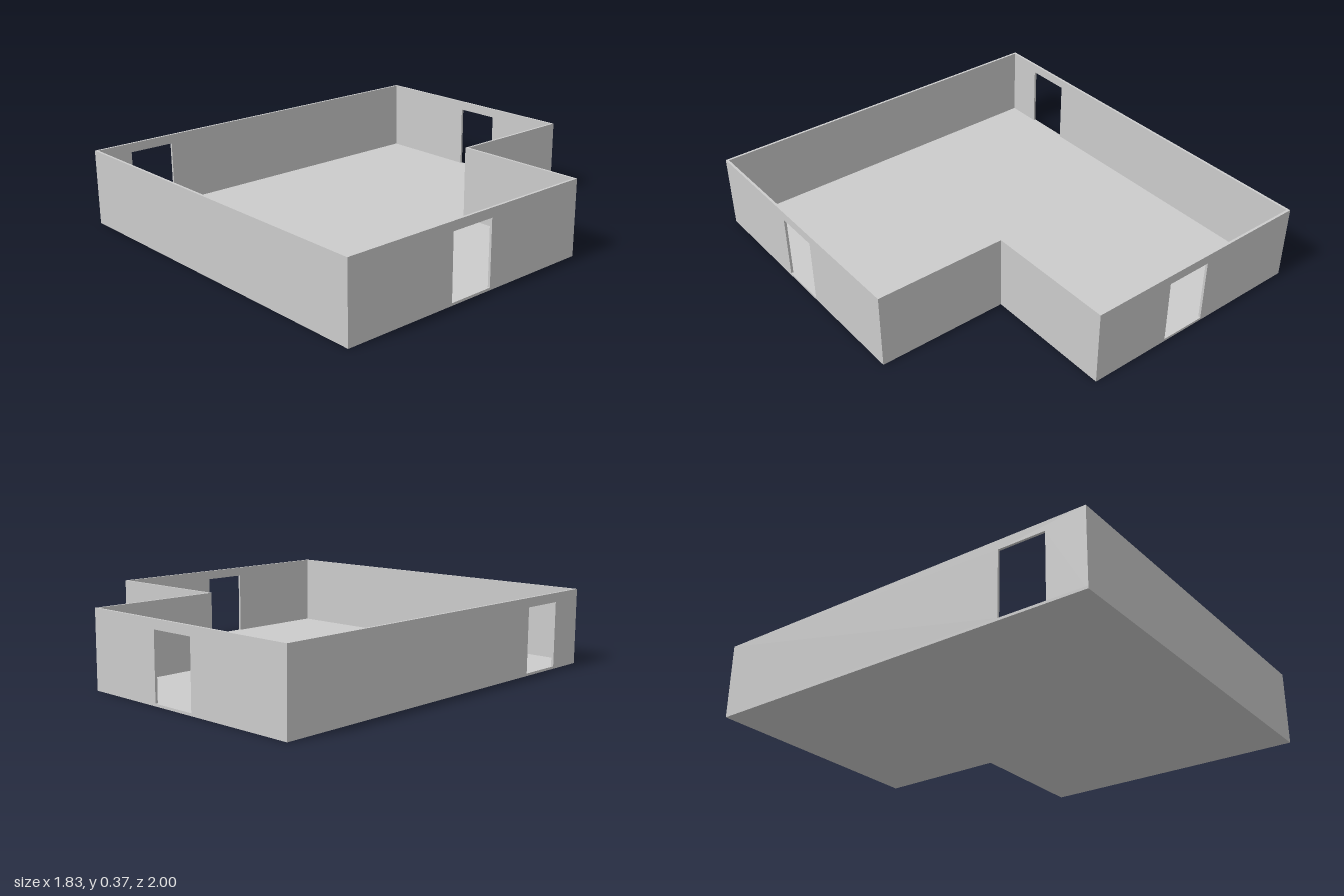
import * as THREE from 'three';

const T = 0.012;      // wall and floor thickness
const TOP = 0.37;     // top of the walls
const DOOR_W = 0.23;
const DOOR_TOP = 0.325;
const X = 0.917, NX = 0.267, NZ = -0.352;

// Outer corners [x, z] of the L-shaped plan. Each one starts a wall;
// door is the distance from that corner to the middle of the doorway.
const corners = [
  { name: 'frontWall', p: [-X, 1] },
  { name: 'rightWall', p: [X, 1], door: 0.677 },
  { name: 'notchBackWall', p: [X, NZ], reflexEnd: true },
  { name: 'notchSideWall', p: [NX, NZ] },
  { name: 'backWall', p: [NX, -1], door: 0.525 },
  { name: 'leftWall', p: [-X, -1], door: 1.695 },
];

// Wall panel from the floor up, with a doorway cut from its lower edge
function wallGeometry(length, door) {
  const s = new THREE.Shape();
  s.moveTo(0, T);
  if (door !== undefined) {
    const a = door - DOOR_W / 2, b = door + DOOR_W / 2;
    s.lineTo(a, T);
    s.lineTo(a, DOOR_TOP);
    s.lineTo(b, DOOR_TOP);
    s.lineTo(b, T);
  }
  s.lineTo(length, T);
  s.lineTo(length, TOP);
  s.lineTo(0, TOP);
  s.closePath();
  return new THREE.ExtrudeGeometry(s, { depth: T, bevelEnabled: false }).translate(0, 0, -T);
}

export function createModel() {
  const group = new THREE.Group();
  group.name = 'room';
  const material = new THREE.MeshStandardMaterial({ color: 0xcccccc });

  // Floor slab under the whole plan
  const plan = new THREE.Shape(corners.map(({ p }) => new THREE.Vector2(p[0], -p[1])));
  const floor = new THREE.Mesh(
    new THREE.ExtrudeGeometry(plan, { depth: T, bevelEnabled: false }).rotateX(-Math.PI / 2),
    material
  );
  floor.name = 'floor';
  group.add(floor);

  // Walls butt at outer corners and run past the inward one to close it
  corners.forEach(({ name, p, door, reflexEnd }, i) => {
    const q = corners[(i + 1) % corners.length].p;
    const dx = q[0] - p[0], dz = q[1] - p[1];
    const length = Math.hypot(dx, dz) + (reflexEnd ? T : -T);
    const wall = new THREE.Mesh(wallGeometry(length, door), material);
    wall.name = name;
    wall.position.set(p[0], 0, p[1]);
    wall.rotation.y = Math.atan2(-dz, dx);
    group.add(wall);
  });

  return group;
}
